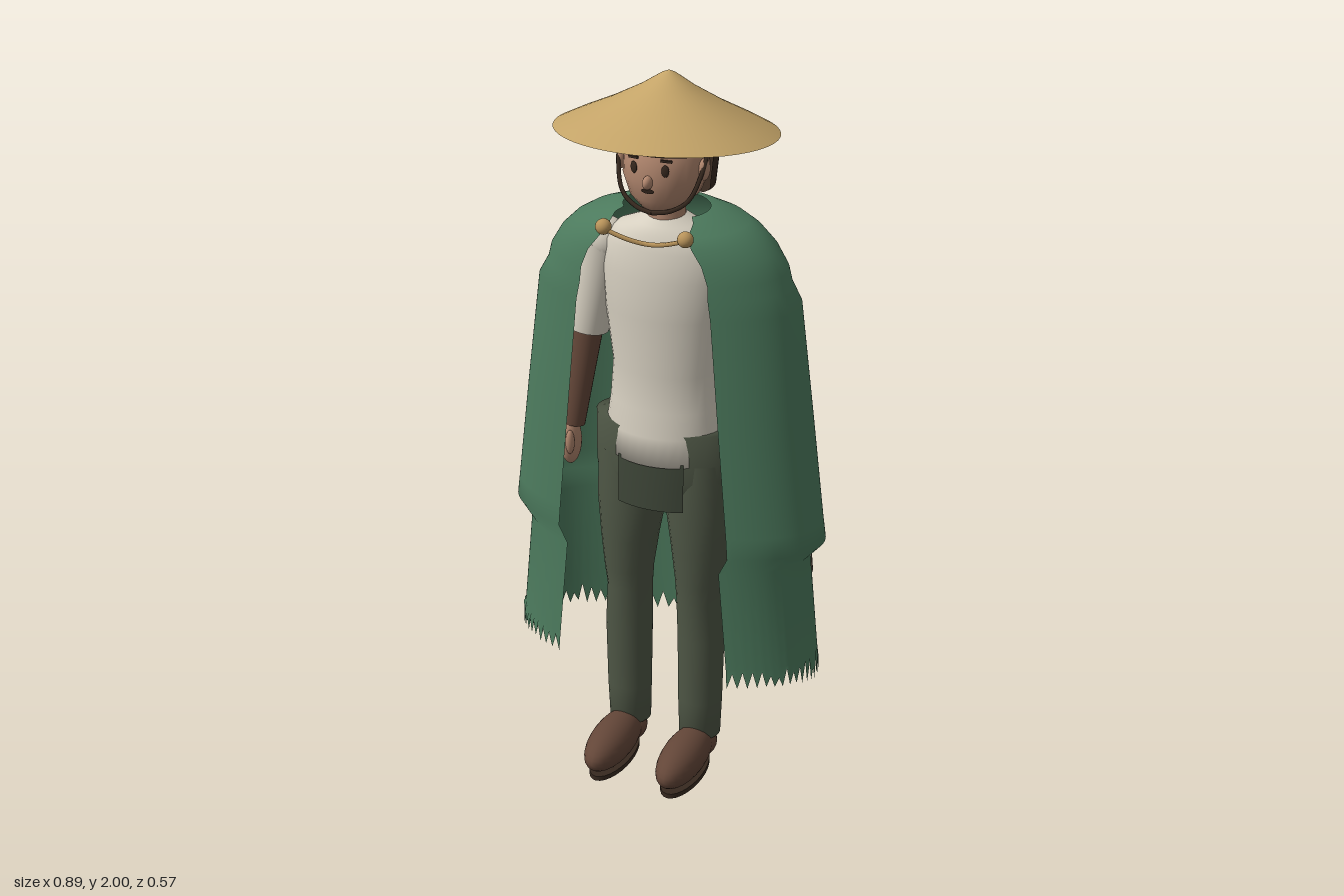
import * as THREE from 'three';
import { mergeVertices } from 'three/addons/utils/BufferGeometryUtils.js';

const mat = (name, color, side = THREE.FrontSide) => {
  const m = new THREE.MeshStandardMaterial({ color, side });
  m.name = name;
  return m;
};
const D = THREE.DoubleSide;
const straw = mat('straw', 0xc4a468, D), green = mat('cape green', 0x4c7a5d, D);
const cream = mat('shirt cream', 0xd6cfc0, D), olive = mat('trouser olive', 0x4e5645, D);
const darkOlive = mat('dark olive', 0x3e4638, D), brown = mat('leather brown', 0x634638, D);
const skin = mat('skin', 0xae846c), hair = mat('dark hair', 0x37291f, D);
const gold = mat('gold', 0xb8935a), worn = mat('worn cloth', 0x5b5143);

let seed = 7;
const rand = () => (seed = (seed * 16807) % 2147483647) / 2147483647;

// Surface from elliptical rows, top to bottom: [y, halfWidth, halfDepth, z, x, startAngle]
// The angle runs from the front (+z) towards +x.
function loft(rows, n = 28, from = 0, to = Math.PI * 2, edit) {
  const pos = [], idx = [];
  rows.forEach(([y, a, b, z = 0, x = 0, open], r) => {
    for (let i = 0; i <= n; i++) {
      const s = open ?? from, e = open === undefined ? to : Math.PI * 2 - open;
      const t = s + (e - s) * i / n;
      const yy = edit ? edit(r, i, t, y) : y;
      pos.push(x + a * Math.sin(t), yy, z + b * Math.cos(t));
      if (r < rows.length - 1 && i < n) {
        const p = r * (n + 1) + i, q = p + n + 1;
        idx.push(p, q, p + 1, p + 1, q, q + 1);
      }
    }
  });
  let g = new THREE.BufferGeometry();
  g.setAttribute('position', new THREE.Float32BufferAttribute(pos, 3));
  g.setIndex(idx);
  g = mergeVertices(g, 1e-5);
  g.computeVertexNormals();
  return g;
}

// Cape rows, each with its front opening angle
const capeRows = [
  [1.645, 0.115, 0.1, 0, 0, 0.95], [1.638, 0.15, 0.125, -0.005, 0, 0.8],
  [1.615, 0.215, 0.158, -0.01, 0, 0.54], [1.59, 0.255, 0.175, -0.012, 0, 0.52],
  [1.55, 0.295, 0.188, -0.014, 0, 0.56], [1.5, 0.325, 0.195, -0.015, 0, 0.57],
  [1.46, 0.335, 0.198, -0.015, 0, 0.56], [1.41, 0.363, 0.2, -0.015, 0, 0.54],
  [1.1, 0.402, 0.21, -0.015, 0, 0.56], [0.8, 0.438, 0.219, -0.016, 0, 0.58],
  [0.74, 0.446, 0.222, -0.017, 0, 0.58], [0.69, 0.402, 0.221, -0.017, 0, 0.58],
  [0.4, 0.43, 0.229, -0.017, 0, 0.61], [0.33, 0.436, 0.232, -0.017, 0, 0.61],
];

// Point just outside the cape at a height and angle
function capePoint(y, t) {
  let i = 0;
  while (i < capeRows.length - 2 && capeRows[i + 1][0] > y) i++;
  const A = capeRows[i], B = capeRows[i + 1], k = (y - A[0]) / (B[0] - A[0]);
  const [a, b, z] = [1, 2, 3].map(j => A[j] + (B[j] - A[j]) * k);
  return [(a + 0.004) * Math.sin(t), y, z + (b + 0.004) * Math.cos(t)];
}

export function createModel() {
  const model = new THREE.Group();
  model.name = 'cloakedTraveller';
  const add = (name, geo, material, x = 0, y = 0, z = 0) => {
    const m = new THREE.Mesh(geo, material);
    m.name = name;
    m.position.set(x, y, z);
    model.add(m);
    return m;
  };
  const ball = (name, m, p, s) => {
    const o = add(name, new THREE.SphereGeometry(1, 24, 16), m, ...p);
    o.scale.set(...s);
    return o;
  };
  const V = p => new THREE.Vector3(...p);
  const tube = (name, m, pts, r) =>
    add(name, new THREE.TubeGeometry(new THREE.CatmullRomCurve3(pts.map(V)), 24, r, 6), m);
  const limb = (name, m, p, q, r1, r2) => {
    const d = V(q).sub(V(p)), c = V(p).add(V(q)).multiplyScalar(0.5);
    const o = add(name, new THREE.CylinderGeometry(r2, r1, d.length(), 20), m, c.x, c.y, c.z);
    o.quaternion.setFromUnitVectors(new THREE.Vector3(0, 1, 0), d.normalize());
  };

  // Conical straw hat, front brim tipped up
  const hatProfile = [[0.289, -0.003], [0.24, 0.022], [0.15, 0.064], [0.07, 0.107], [0.018, 0.141], [0, 0.148]];
  const hat = add('hat', new THREE.LatheGeometry(hatProfile.map(p => new THREE.Vector2(...p)), 48), straw, 0, 1.852, 0);
  hat.rotation.x = -0.103;

  // Head, neck and hair
  add('head', loft([[1.88, 0.005, 0.005], [1.855, 0.075, 0.08], [1.8, 0.108, 0.115], [1.74, 0.11, 0.12, 0.002],
    [1.69, 0.09, 0.105, 0.008], [1.66, 0.055, 0.075, 0.02], [1.648, 0.005, 0.005, 0.03]]), skin);
  add('neck', new THREE.CylinderGeometry(0.048, 0.053, 0.12, 20), skin, 0, 1.635, 0.003);
  const PI = Math.PI;
  add('backHair', loft([[1.89, 0.08, 0.09, -0.02], [1.85, 0.12, 0.118, -0.02], [1.79, 0.128, 0.124, -0.02],
    [1.7, 0.118, 0.117, -0.02], [1.69, 0.1, 0.1, -0.02], [1.69, 0.02, 0.02, -0.02]], 28, 1.42, 2 * PI - 1.42), hair);
  add('fringe', loft([[1.88, 0.09, 0.09], [1.855, 0.122, 0.12], [1.803, 0.126, 0.125], [1.803, 0.1, 0.1]], 24, -1.7, 1.7,
    (r, i, t, y) => r > 1 ? y + 0.012 * Math.cos(t) : y), hair);
  add('headBand', loft([[1.856, 0.129, 0.13, -0.012], [1.832, 0.133, 0.133, -0.013]]), brown);
  add('hairTie', loft([[1.84, 0.128, 0.128, -0.02], [1.79, 0.132, 0.128, -0.02], [1.7, 0.122, 0.121, -0.02]],
    6, PI - 0.16, PI + 0.16), brown);

  // Face
  ball('nose', skin, [0, 1.745, 0.122], [0.013, 0.018, 0.02]);
  const mouth = add('mouth', new THREE.CircleGeometry(0.018, 12), hair, 0, 1.722, 0.122);
  mouth.scale.y = 0.45;
  mouth.rotation.x = 0.25;

  // Shirt, hips and front flap
  add('shirt', loft([[1.625, 0.05, 0.05], [1.605, 0.085, 0.07], [1.585, 0.135, 0.085], [1.545, 0.17, 0.1],
    [1.47, 0.178, 0.112], [1.36, 0.168, 0.115], [1.2, 0.148, 0.105], [1.1, 0.155, 0.113], [1.03, 0.165, 0.125],
    [0.95, 0.16, 0.131], [0.948, 0.02, 0.02]], 36), cream);
  add('trouserHips', loft([[1.04, 0.15, 0.09], [1.04, 0.2, 0.115], [0.9, 0.2, 0.116], [0.83, 0.193, 0.1],
    [0.79, 0.12, 0.06], [0.78, 0.01, 0.01]], 36), olive);
  add('waistFlap', loft([[0.96, 0.18, 0.125], [0.9, 0.18, 0.128], [0.82, 0.18, 0.13]], 12, -0.55, 0.55), darkOlive);

  for (const s of [-1, 1]) {
    // Ears, eyes, brows and chin strap
    ball('ear', skin, [s * 0.114, 1.765, 0.025], [0.014, 0.03, 0.02]);
    const eye = ball('eye', hair, [s * 0.043, 1.777, 0.11], [0.01, 0.016, 0.004]);
    eye.rotation.y = s * 0.3;
    const brow = add('brow', new THREE.BoxGeometry(0.03, 0.006, 0.006), hair, s * 0.045, 1.803, 0.108);
    brow.rotation.set(0, s * 0.35, s * -0.1);
    tube('chinStrap', hair, [[s * 0.122, 1.85, 0.0], [s * 0.115, 1.76, 0.045], [s * 0.09, 1.692, 0.075],
      [s * 0.045, 1.663, 0.09], [0, 1.655, 0.098]], 0.006);

    // Arms
    ball('shoulder', cream, [s * 0.178, 1.52, 0], [0.064, 0.064, 0.064]);
    limb('sleeve', cream, [s * 0.18, 1.52, 0], [s * 0.222, 1.27, 0.015], 0.064, 0.058);
    limb('forearm', brown, [s * 0.22, 1.29, 0.015], [s * 0.248, 1.0, 0.06], 0.044, 0.032);
    ball('hand', skin, [s * 0.252, 0.95, 0.068], [0.027, 0.068, 0.038]);
    ball('thumb', skin, [s * 0.24, 0.96, 0.1], [0.012, 0.035, 0.014]);

    // Trouser legs
    add('trouserLeg', loft([[0.95, 0.09, 0.095, 0, s * 0.1], [0.8, 0.096, 0.1, 0, s * 0.1], [0.68, 0.08, 0.086, 0.01, s * 0.104],
      [0.58, 0.068, 0.072, 0.016, s * 0.105], [0.52, 0.062, 0.067, 0.016, s * 0.103], [0.4, 0.065, 0.067, 0.012, s * 0.108],
      [0.2, 0.062, 0.061, 0.014, s * 0.107], [0.085, 0.058, 0.058, 0.013, s * 0.106], [0.085, 0.02, 0.02, 0.013, s * 0.106]], 24), olive);

    // Shoes with dark soles
    ball('shoe', brown, [s * 0.108, 0.066, 0.128], [0.06, 0.061, 0.149]);
    ball('shoeHeel', brown, [s * 0.107, 0.06, 0.03], [0.055, 0.05, 0.055]);
    const sole = add('sole', new THREE.CylinderGeometry(1, 1, 0.014, 28), hair, s * 0.108, 0.007, 0.122);
    sole.scale.set(0.052, 1, 0.128);

    // Cape clasps
    ball('clasp', gold, [s * 0.113, 1.618, 0.145], [0.021, 0.021, 0.021]);
  }
  tube('claspCord', gold, [[-0.113, 1.615, 0.15], [-0.05, 1.592, 0.14], [0, 1.582, 0.13], [0.05, 1.592, 0.14], [0.113, 1.615, 0.15]], 0.006);

  // Cape with a frayed hem, longer at the back
  const last = capeRows.length - 1;
  add('cape', loft(capeRows, 132, 0, 0, (r, i, t, y) => {
    if (r < last) return y;
    const tip = 0.318 + 0.032 * Math.cos(t) + 0.012 * rand();
    return i % 2 ? Math.min(0.395, tip + 0.025 + 0.04 * rand()) : tip;
  }), green);

  // Worn spots on the cape: angle, height, half width (angle), half height
  for (const [t, y, w, h] of [[PI + 0.15, 1.0, 0.03, 0.026], [PI + 0.72, 0.88, 0.045, 0.036], [PI + 0.6, 0.81, 0.025, 0.013],
    [PI - 0.85, 1.36, 0.03, 0.036], [PI / 2 + 0.13, 0.66, 0.08, 0.03], [PI - 0.6, 0.72, 0.02, 0.012]]) {
    const g = new THREE.CircleGeometry(1, 12), p = g.attributes.position;
    for (let i = 0; i < p.count; i++) p.setXYZ(i, ...capePoint(y + p.getY(i) * h, t + p.getX(i) * w));
    g.computeVertexNormals();
    add('wornSpot', g, worn);
  }
  return model;
}
